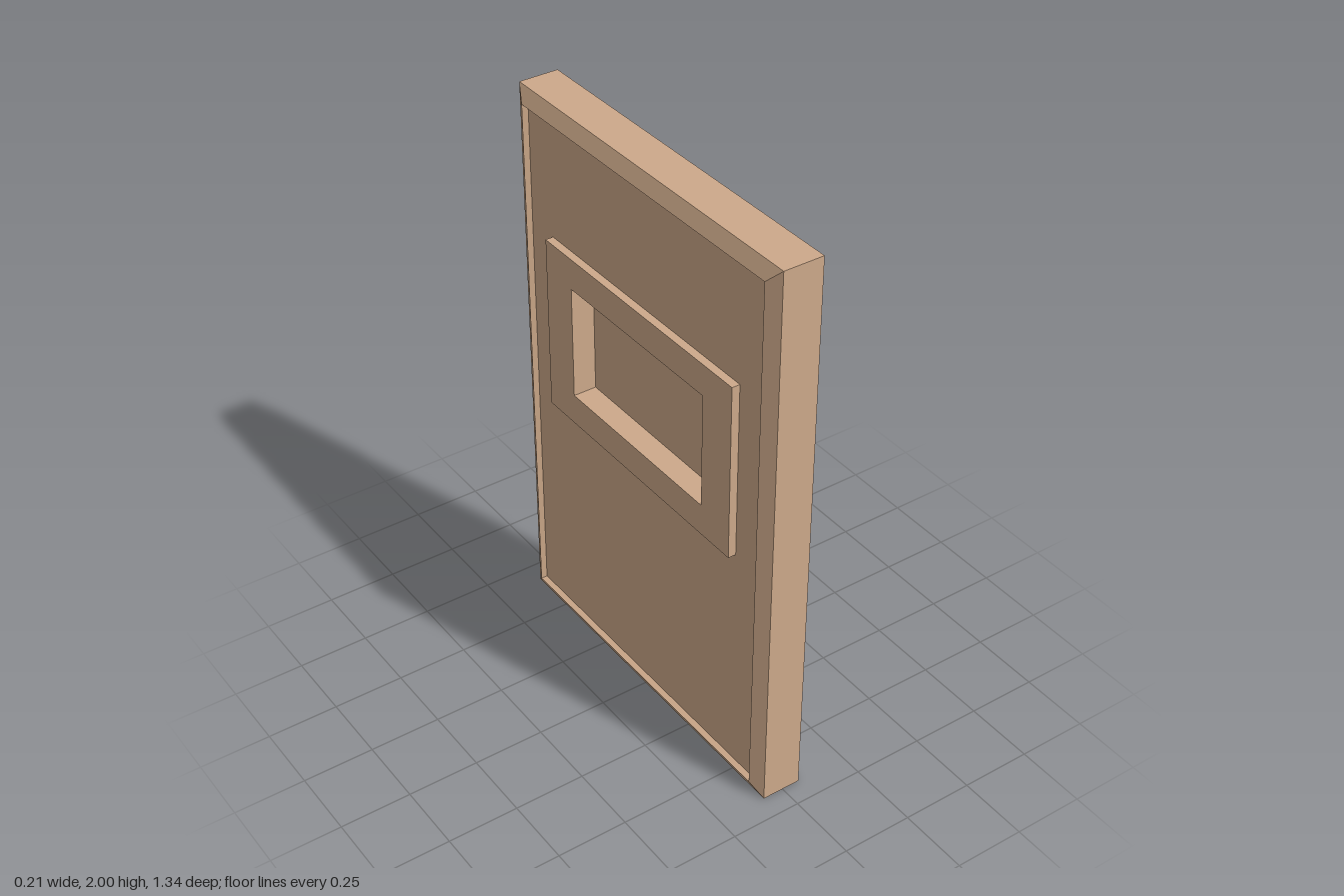
import * as THREE from 'three';

const wood = new THREE.MeshStandardMaterial({ color: 0xcda98a, flatShading: true });

// Rectangular ring lofted through a closed profile of [halfWidth, halfHeight, x]
function ring(profile, cy) {
  const corners = [[-1, -1], [1, -1], [1, 1], [-1, 1]];
  const at = ([hz, hy, x], [u, v]) => [x, cy + v * hy, -u * hz];
  const pos = [];
  profile.forEach((p, i) => {
    const q = profile[(i + 1) % profile.length];
    corners.forEach((a, j) => {
      const b = corners[(j + 1) % 4];
      pos.push(...at(p, a), ...at(p, b), ...at(q, b), ...at(p, a), ...at(q, b), ...at(q, a));
    });
  });
  const g = new THREE.BufferGeometry();
  g.setAttribute('position', new THREE.Float32BufferAttribute(pos, 3));
  g.computeVertexNormals();
  return g;
}

// Outline in (u, y), where u = -z, extruded from x0 to x1
function slab(outline, x0, x1, hole) {
  const toPoints = (list) => list.map(([u, y]) => new THREE.Vector2(u, y));
  const shape = new THREE.Shape(toPoints(outline));
  if (hole) shape.holes.push(new THREE.Path(toPoints(hole)));
  const g = new THREE.ExtrudeGeometry(shape, { depth: x1 - x0, bevelEnabled: false });
  return g.rotateY(Math.PI / 2).translate(x0, 0, 0);
}

const rect = (u0, u1, y0, y1) => [[u0, y0], [u1, y0], [u1, y1], [u0, y1]];

export function createModel() {
  const group = new THREE.Group();
  const add = (name, geometry) => {
    const mesh = new THREE.Mesh(geometry, wood);
    mesh.name = name;
    group.add(mesh);
    return mesh;
  };

  // Bevelled outer frame
  const inset = (d, x) => [0.67 - d, 1 - d, x];
  add('outerFrame', ring([
    inset(0, -0.075), inset(0, 0.065), inset(0.08, 0.105),
    inset(0.085, 0.1), inset(0.085, -0.08), inset(0.055, -0.08), inset(0.05, -0.1),
  ], 1));

  // Back panel with the window opening
  add('backPanel', slab(rect(-0.62, 0.62, 0.05, 1.95), -0.08, 0.005, rect(-0.42, 0.42, 0.96, 1.47)));

  // Raised vertical boards
  const boards = [[-0.52, -0.45], [-0.41, -0.315], [-0.205, -0.135], [-0.1, 0.01], [0.24, 0.35], [0.43, 0.53]];
  for (const [u0, u1] of boards) {
    add('verticalBoard', slab(rect(u0, u1, 0.07, 1.93), 0, 0.055));
  }
  // Narrow battens between the boards
  for (const u of [-0.21, 0.115, 0.175]) {
    add('batten', slab(rect(u - 0.006, u + 0.006, 0.07, 1.93), 0, 0.04));
  }

  // Centre post, interrupted by the window
  for (const [y0, y1] of [[0.07, 0.95], [1.48, 1.93]]) {
    add('centrePost', slab(rect(0.13, 0.168, y0, y1), 0, 0.1));
  }

  // Splintered upper brace
  add('upperBrace', slab([
    [-0.575, 1.445], [0.05, 1.58], [0.17, 1.62], [0.335, 1.68], [0.29, 1.63], [0.595, 1.695],
    [0.595, 1.77], [0.40, 1.70], [0.36, 1.645], [0.35, 1.655], [0.43, 1.735], [0.48, 1.772],
    [0.59, 1.80], [0.585, 1.825], [-0.595, 1.57],
  ], 0.055, 0.083));

  // Lower brace with a chipped hollow
  add('lowerBrace', slab(
    [[-0.58, 1.005], [0.545, 0.42], [0.6, 0.535], [-0.52, 1.115]], 0.055, 0.083,
    [[-0.15, 0.855], [-0.05, 0.81], [0.055, 0.815], [-0.045, 0.868]],
  ));

  // Bolts at the ends of the braces
  for (const [u, y] of [[-0.495, 1.53], [0.545, 1.745], [-0.495, 1.03], [0.545, 0.48]]) {
    const head = new THREE.CylinderGeometry(0.008, 0.014, 0.012, 12).rotateZ(-Math.PI / 2);
    add('bolt', head).position.set(0.087, y, -u);
  }

  // Window surround, standing proud on both sides
  add('windowFrame', ring([
    [0.495, 0.315, -0.108], [0.495, 0.315, 0.1], [0.352, 0.204, 0.09], [0.352, 0.204, -0.108],
  ], 1.215));
  add('windowPane', slab(rect(-0.36, 0.36, 1.0, 1.43), -0.025, 0.058));

  return group;
}
